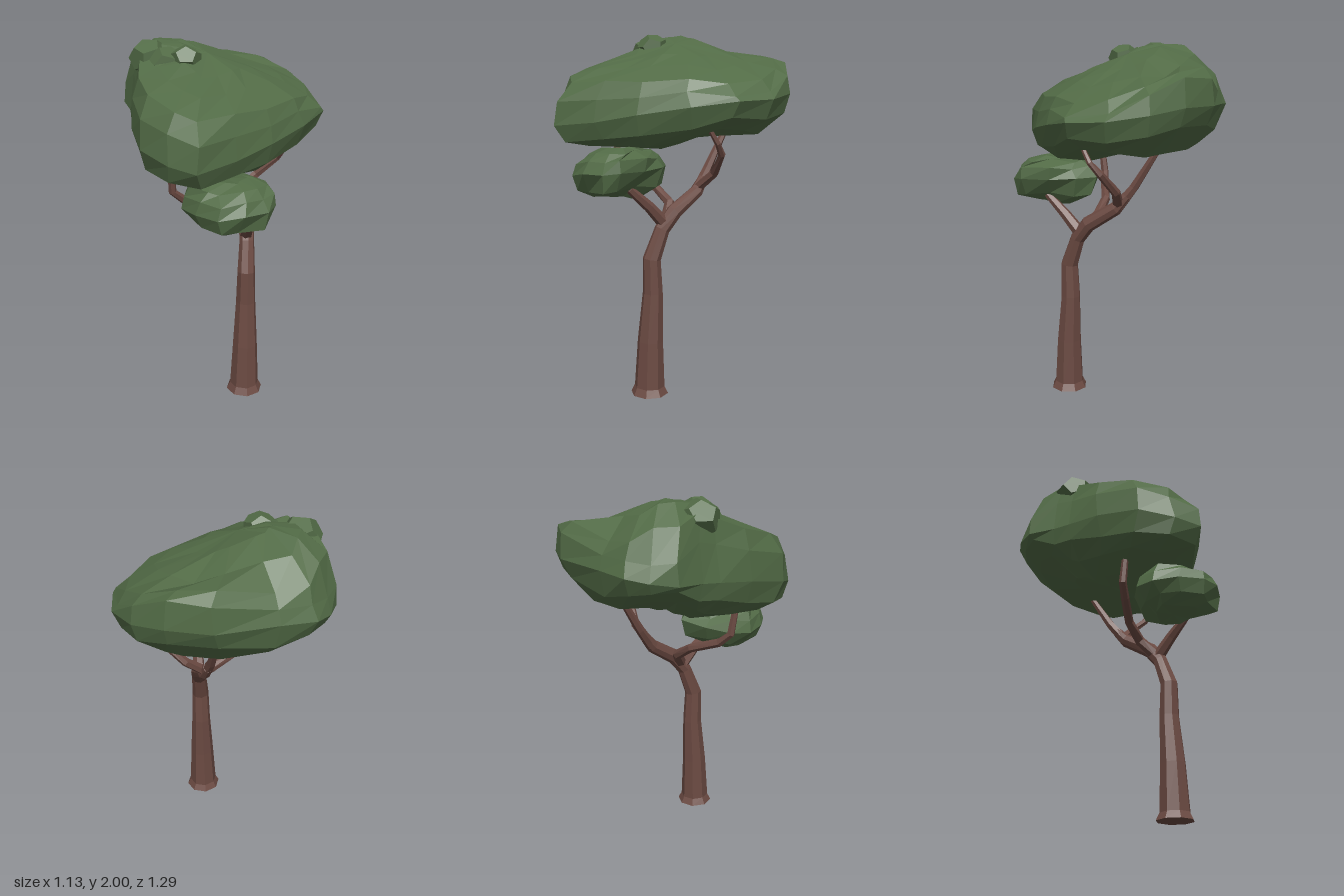
import * as THREE from 'three';

const bark = new THREE.MeshStandardMaterial({ color: 0x6b4a42, flatShading: true });
const leaf = new THREE.MeshStandardMaterial({ color: 0x526b46, flatShading: true });
const { lerp, smoothstep } = THREE.MathUtils;

// Skin closed rings of points, listed bottom to top
function loft(name, rings, material) {
  const n = rings[0].length, index = [];
  for (let i = 0; i < rings.length - 1; i++) {
    for (let j = 0; j < n; j++) {
      const a = i * n + j, b = i * n + (j + 1) % n;
      index.push(a, a + n, b, b, a + n, b + n);
    }
  }
  const geo = new THREE.BufferGeometry().setFromPoints(rings.flat());
  geo.setIndex(index);
  geo.computeVertexNormals();
  const mesh = new THREE.Mesh(geo, material);
  mesh.name = name;
  return mesh;
}

// Tapered limb through [x, y, z, radius] stations, closed at both ends
function limb(name, stations, sides) {
  const pts = stations.map(s => new THREE.Vector3(s[0], s[1], s[2]));
  const up = new THREE.Vector3(0, 1, 0);
  const ring = (i, r) => {
    const dir = pts[Math.min(i + 1, pts.length - 1)].clone().sub(pts[Math.max(i - 1, 0)]).normalize();
    if (pts[i].y === 0) dir.copy(up);
    const q = new THREE.Quaternion().setFromUnitVectors(up, dir);
    return Array.from({ length: sides }, (_, j) => {
      const a = (j + 0.5) / sides * Math.PI * 2;
      return new THREE.Vector3(Math.cos(a) * r, 0, Math.sin(a) * r).applyQuaternion(q).add(pts[i]);
    });
  };
  const last = pts.length - 1;
  return loft(name, [ring(0, 0), ...stations.map((s, i) => ring(i, s[3])), ring(last, 0)], bark);
}

// Repeatable wobble in -1..1
const wobble = (i, j, k) => {
  const s = Math.sin(i * 12.99 + j * 78.23 + k * 37.72) * 43758.55;
  return (s - Math.floor(s)) * 2 - 1;
};

// Leaf mass: a plan outline [x, z, rimHeight] scaled through levels [scale, t],
// t running from the underside (-1) over the rim (0) to the top surface (1)
function foliage(name, outline, centre, levels, under, over, rough) {
  const rings = levels.map(([s, t], i) => outline.map(([ox, oz, rim], j) => {
    const w = s === 0 || s === 1 ? 0 : rough;
    const x = centre[0] + (ox - centre[0]) * s + w * wobble(i, j, 1);
    const z = centre[1] + (oz - centre[1]) * s + w * wobble(i, j, 2);
    const y = lerp(rim, t < 0 ? under(x, z) : over(x, z), Math.abs(t));
    return new THREE.Vector3(x, y + w * 0.6 * wobble(i, j, 3), z);
  }));
  return loft(name, rings, leaf);
}

export function createModel() {
  const tree = new THREE.Group();
  tree.name = 'tree';

  // Trunk leaning back into the rear bough
  tree.add(limb('trunk', [
    [0.22, 0, 0.16, 0.104], [0.22, 0.04, 0.16, 0.084], [0.22, 0.3, 0.155, 0.071],
    [0.217, 0.57, 0.14, 0.056], [0.218, 0.76, 0.145, 0.05], [0.207, 0.92, 0.085, 0.042],
    [0.19, 1.01, 0.015, 0.044], [0.12, 1.11, -0.13, 0.038], [0.085, 1.18, -0.18, 0.028],
  ], 8));

  // Boughs
  tree.add(limb('rearBranch', [
    [0.11, 1.12, -0.14, 0.032], [0.06, 1.23, -0.21, 0.026], [-0.01, 1.48, -0.35, 0.016],
  ], 6));
  tree.add(limb('leftBranch', [
    [0.11, 1.13, -0.14, 0.03], [0.2, 1.22, -0.21, 0.025], [0.32, 1.33, -0.215, 0.02],
    [0.36, 1.39, -0.18, 0.015], [0.365, 1.47, -0.13, 0.012],
  ], 6));
  tree.add(limb('rightBranch', [
    [0.2, 0.96, 0.06, 0.036], [0.11, 1.05, 0.02, 0.03], [0.0, 1.12, 0.07, 0.025],
    [-0.12, 1.18, 0.2, 0.024], [-0.17, 1.24, 0.25, 0.022], [-0.17, 1.42, 0.28, 0.018],
  ], 6));
  tree.add(limb('frontBranch', [
    [0.2, 0.95, 0.07, 0.036], [0.23, 1.05, 0.16, 0.03], [0.26, 1.15, 0.27, 0.022], [0.26, 1.2, 0.3, 0.015],
  ], 6));

  // Main canopy
  const canopyOutline = [
    [-0.06, -0.64, 1.68], [0.17, -0.645, 1.68], [0.35, -0.58, 1.65], [0.5, -0.43, 1.62],
    [0.565, -0.23, 1.61], [0.49, 0, 1.58], [0.36, 0.25, 1.54], [0.22, 0.45, 1.5],
    [0.07, 0.645, 1.48], [-0.08, 0.61, 1.5], [-0.25, 0.51, 1.54], [-0.37, 0.29, 1.58],
    [-0.44, 0.1, 1.6], [-0.48, 0, 1.61], [-0.565, -0.14, 1.62], [-0.55, -0.28, 1.64],
    [-0.5, -0.39, 1.66], [-0.34, -0.48, 1.67],
  ];
  const canopyTop = (x, z) => {
    const a = Math.max(0, x + 0.1);
    const crown = 0.06 * Math.exp(-((x + 0.3) ** 2 + (z + 0.15) ** 2) / 0.03);
    const rear = 0.12 * smoothstep(-z, 0.53, 0.62)
      - 0.07 * smoothstep(-z, 0.2, 0.45) * (1 - smoothstep(x, 0.05, 0.3));
    // Falls away behind a diagonal crease and at the far right edge
    const fall = 0.4 * Math.max(0, -0.656 * (x - 0.16) - 0.754 * (z + 0.62)) + Math.max(0, -x - 0.46);
    return 1.94 - 0.28 * a - 0.25 * a * a - 0.31 * Math.max(0, z) + rear + crown - fall;
  };
  const canopyUnder = (x, z) => 1.36 + 0.065 * smoothstep(-z, -0.05, 0.15) + 0.12 * smoothstep(-z, 0.45, 0.65)
    + 0.5 * Math.max(0, -x - 0.25) + 0.2 * Math.max(0, x - 0.25);
  tree.add(foliage('canopy', canopyOutline, [-0.05, -0.05], [
    [0, -1], [0.4, -1], [0.75, -0.93], [0.93, -0.66], [1, 0],
    [0.955, 0.58], [0.87, 0.96], [0.64, 1], [0.35, 1], [0, 1],
  ], canopyUnder, canopyTop, 0.016));

  // Lower leaf cluster at the front
  const lowerOutline = [
    [0.4, 0.34, 1.25], [0.38, 0.43, 1.24], [0.28, 0.52, 1.24], [0.15, 0.56, 1.22],
    [0.02, 0.5, 1.22], [-0.08, 0.4, 1.21], [-0.1, 0.28, 1.22], [-0.02, 0.15, 1.24],
    [0.1, 0.04, 1.26], [0.22, 0.08, 1.26], [0.32, 0.2, 1.25],
  ];
  tree.add(foliage('lowerFoliage', lowerOutline, [0.14, 0.3], [
    [0, -1], [0.5, -1], [0.82, -0.68], [1, 0], [0.91, 0.5], [0.72, 0.85], [0.4, 1], [0, 1],
  ], () => 1.11, x => 1.35 + 0.05 * x, 0.024));

  // Tufts on the crown
  for (const [x, y, z, r] of [[-0.14, 1.91, 0.06, 0.09], [-0.35, 1.905, 0.01, 0.115], [-0.25, 1.89, 0.06, 0.1]]) {
    const tuft = new THREE.Mesh(new THREE.DodecahedronGeometry(r), leaf);
    tuft.name = 'crownTuft';
    tuft.position.set(x, y, z);
    tuft.rotation.y = x * 9;
    tuft.scale.y = 0.85;
    tree.add(tuft);
  }
  return tree;
}
